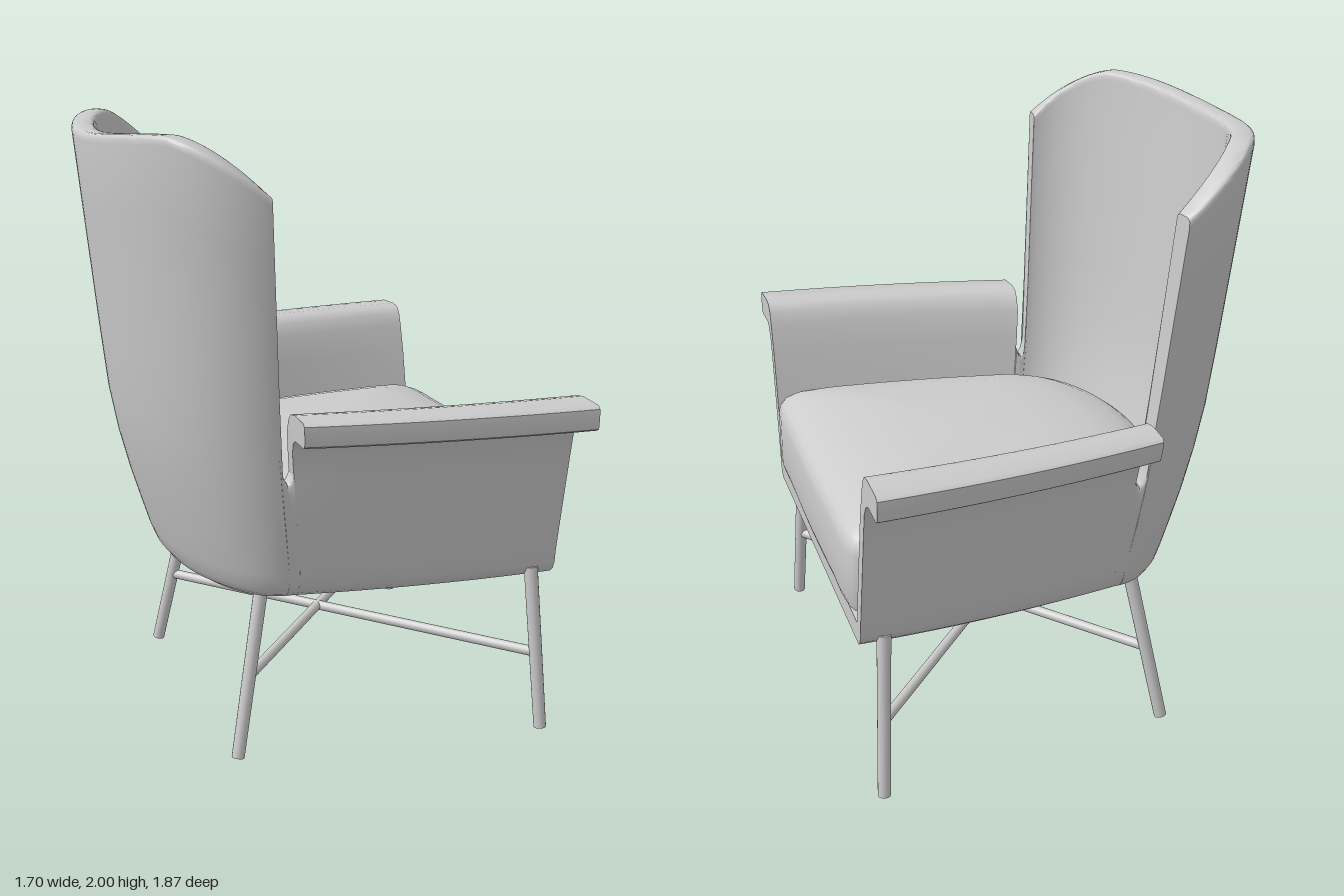
import * as THREE from 'three';
import { toCreasedNormals } from 'three/addons/utils/BufferGeometryUtils.js';

const grey = new THREE.MeshStandardMaterial({ color: 0xcccccc, side: THREE.DoubleSide });

// Plan of the shell at key heights: rear half-width, front half-width,
// start of the rear curve and depth of the rear curve
const LEVELS = [0.53, 0.545, 0.57, 0.62, 0.8, 0.95, 1.1, 1.3, 2];
const REAR = [0.505, 0.528, 0.543, 0.555, 0.585, 0.603, 0.62, 0.643, 0.72];
const FRONT = [0.605, 0.622, 0.633, 0.64, 0.677, 0.708, 0.738, 0.738, 0.738];
const START = [-0.35, -0.35, -0.35, -0.35, -0.37, -0.385, -0.4, -0.41, -0.435];
const DEPTH = [-0.6, -0.625, -0.645, -0.665, -0.72, -0.758, -0.785, -0.806, -0.872];
const FACE = 0.527;

function at(table, y) {
  let i = 0;
  while (i < LEVELS.length - 2 && y > LEVELS[i + 1]) i++;
  const t = (y - LEVELS[i]) / (LEVELS[i + 1] - LEVELS[i]);
  return THREE.MathUtils.lerp(table[i], table[i + 1], THREE.MathUtils.clamp(t, 0, 1));
}

// Point on the U-shaped wall: |s| < 1 is the curved back, 1..2 the arms.
// d moves the point outward.
function wall(s, y, d = 0) {
  const a = at(REAR, y), c = at(START, y), b = c - at(DEPTH, y);
  const side = Math.sign(s), v = Math.abs(s) - 1;
  if (v > 0) {
    const u = THREE.MathUtils.lerp(a, at(FRONT, y), v) + 0.08 * v * (1 - v);
    return new THREE.Vector3(side * (u + d), y, THREE.MathUtils.lerp(c, FACE, v));
  }
  const g = s * Math.PI / 2;
  const n = new THREE.Vector2(Math.sin(g) * b, -Math.cos(g) * a).normalize();
  return new THREE.Vector3(Math.sin(g) * a + n.x * d, y, c - Math.cos(g) * b + n.y * d);
}

// Skin through columns of points; optionally close both ends
function skin(columns, caps) {
  const n = columns[0].length, index = [];
  const quad = (a, b, c, d) => index.push(a, b, c, a, c, d);
  for (let i = 0; i < columns.length - 1; i++) {
    for (let j = 0; j < n - 1; j++) {
      const p = i * n + j;
      quad(p, p + 1, p + n + 1, p + n);
    }
  }
  if (caps) {
    const e = (columns.length - 1) * n;
    for (let i = 0; i < Math.floor(n / 2) - 1; i++) {
      const k = n - 1 - i;
      quad(i, k, k - 1, i + 1);
      quad(e + i, e + i + 1, e + k - 1, e + k);
    }
  }
  const geo = new THREE.BufferGeometry().setFromPoints(columns.flat());
  geo.setIndex(index);
  return toCreasedNormals(geo, 0.7);
}

// Upright section of the back: outside up, softly squared rim, inside down
function backColumn(s, top) {
  const r = 0.028, outer = [], rim = [], inner = [];
  const thick = y => THREE.MathUtils.mapLinear(y, 0.53, 2, 0.05, 0.075);
  const rows = [0, 0.012, 0.03, 0.065, 0.12, 0.2, 0.3, 0.4, 0.55, 0.7, 0.85, 1];
  const y1 = top - r, t = thick(y1);
  for (const f of rows) {
    const y = 0.53 + (y1 - 0.53) * f;
    outer.push(wall(s, y));
    inner.unshift(wall(s, y, -thick(y)));
  }
  for (let k = 1; k < 10; k++) {
    const x = Math.cos(k * Math.PI / 10);
    const p = wall(s, y1, -t / 2 + Math.sign(x) * Math.sqrt(Math.abs(x)) * t / 2);
    p.y += Math.sqrt(Math.sin(k * Math.PI / 10)) * r;
    rim.push(p);
  }
  return [...outer, ...rim, ...inner];
}

// Top line: slight saddle between two shoulders, then falling to the wings
function backTop(s) {
  const a = Math.abs(s);
  const saddle = 1.975 + 0.0125 * (1 - Math.cos(Math.PI * Math.min(a / 0.52, 1)));
  return saddle - 0.17 * Math.pow(Math.max(0, (a - 0.52) / 0.435), 1.45);
}

function back() {
  // the last columns drop into the slot beside each arm
  const half = [[0.957, 1], [0.968, 0.955], [0.985, 0.935], [1, 0.94], [1.015, 0.97]];
  const columns = half.slice().reverse().map(([s, t]) => backColumn(-s, t));
  for (let i = -32; i <= 32; i++) {
    const s = i / 32 * 0.955;
    columns.push(backColumn(s, backTop(s)));
  }
  columns.push(...half.map(([s, t]) => backColumn(s, t)));
  return skin(columns, true);
}

// Arm: flaring side wall with an outward padded flange
function arm(side) {
  const columns = [];
  for (let i = 0; i <= 14; i++) {
    const v = 0.015 + (i / 14) * 0.985;
    const f = 0.115 + 0.022 * v;
    const profile = [
      [0, 0.53], [0, 0.545], [0, 0.57], [0, 0.62], [0, 0.8], [0, 0.95], [0.002, 1.04],
      [0.018, 1.078], [0.04, 1.09], [f, 1.088], [f + 0.01, 1.095], [f + 0.013, 1.13],
      [f + 0.012, 1.16], [f, 1.17], [0.04, 1.175], [0, 1.168], [-0.022, 1.145],
      [-0.038, 1.1], [-0.047, 1], [-0.047, 0.8], [-0.047, 0.62],
      [-0.047, 0.57], [-0.047, 0.545], [-0.047, 0.53]];
    columns.push(profile.map(([d, y]) => wall(side * (1 + v), y, d)));
  }
  if (side < 0) columns.reverse();
  return skin(columns, true);
}

function floor() {
  const pts = [];
  for (let i = -40; i <= 40; i++) {
    const p = wall(i / 20, 0.53);
    pts.push(new THREE.Vector2(p.x, p.z));
  }
  const geo = new THREE.ExtrudeGeometry(new THREE.Shape(pts), { depth: 0.07, bevelEnabled: false });
  return geo.rotateX(Math.PI / 2).translate(0, 0.6, 0);
}

// Domed cushion: scaled copies of one rounded outline
function cushion() {
  const pts = [];
  for (let i = -15; i <= 15; i++) {
    const s = i * 0.125;
    pts.push(wall(s, 0.75, Math.abs(s) < 1 ? -0.08 : -0.062));
  }
  for (const [x, z] of [[0.592, 0.5], [0.555, 0.537], [0.3, 0.548], [0, 0.552],
    [-0.3, 0.548], [-0.555, 0.537], [-0.592, 0.5]]) {
    pts.push(new THREE.Vector3(x, 0.75, z));
  }
  const outline = new THREE.CatmullRomCurve3(pts, true).getPoints(110);
  const rings = [[0, 0.61], [0.95, 0.61], [0.985, 0.622], [1, 0.65], [1, 0.75], [1, 0.82],
    [0.992, 0.85], [0.97, 0.872], [0.93, 0.89], [0.85, 0.912], [0.65, 0.94], [0.35, 0.953], [0, 0.956]];
  return skin(outline.map(p => rings.map(([k, y]) =>
    new THREE.Vector3(p.x * k, y, (p.z + 0.03) * k - 0.03))), false);
}

function rod(a, b, r0, r1) {
  const dir = b.clone().sub(a);
  const geo = new THREE.CylinderGeometry(r1, r0, dir.length(), 16);
  geo.applyQuaternion(new THREE.Quaternion().setFromUnitVectors(new THREE.Vector3(0, 1, 0), dir.normalize()));
  return geo.translate((a.x + b.x) / 2, (a.y + b.y) / 2, (a.z + b.z) / 2);
}

export function createModel() {
  const chair = new THREE.Group();
  chair.name = 'wingArmchair';
  const add = (name, geo) => {
    const mesh = new THREE.Mesh(geo, grey);
    mesh.name = name;
    chair.add(mesh);
  };
  add('backrest', back());
  add('leftArm', arm(1));
  add('rightArm', arm(-1));
  add('seatBase', floor());
  add('seatCushion', cushion());

  // Splayed legs and crossed stretchers
  for (const side of [-1, 1]) {
    const name = side > 0 ? 'left' : 'right';
    const frontFoot = new THREE.Vector3(side * 0.672, 0, 0.473);
    const frontTop = new THREE.Vector3(side * 0.615, 0.56, 0.449);
    const rearFoot = new THREE.Vector3(side * 0.52, 0, -0.543);
    const rearTop = new THREE.Vector3(side * 0.445, 0.56, -0.43);
    add(name + 'FrontLeg', rod(frontFoot, frontTop, 0.021, 0.023));
    add(name + 'RearLeg', rod(rearFoot, rearTop, 0.021, 0.023));
    const a = frontFoot.clone().lerp(frontTop, 0.47);
    const b = rearFoot.clone().lerp(rearTop, 0.47);
    b.x *= -1;
    add(name + 'Stretcher', rod(a, b, 0.017, 0.017));
  }

  // The chair stands turned towards its left
  chair.rotation.y = 1.199;
  chair.position.set(0.035, 0, -0.089);
  const model = new THREE.Group();
  model.name = 'armchair';
  model.add(chair);
  return model;
}
